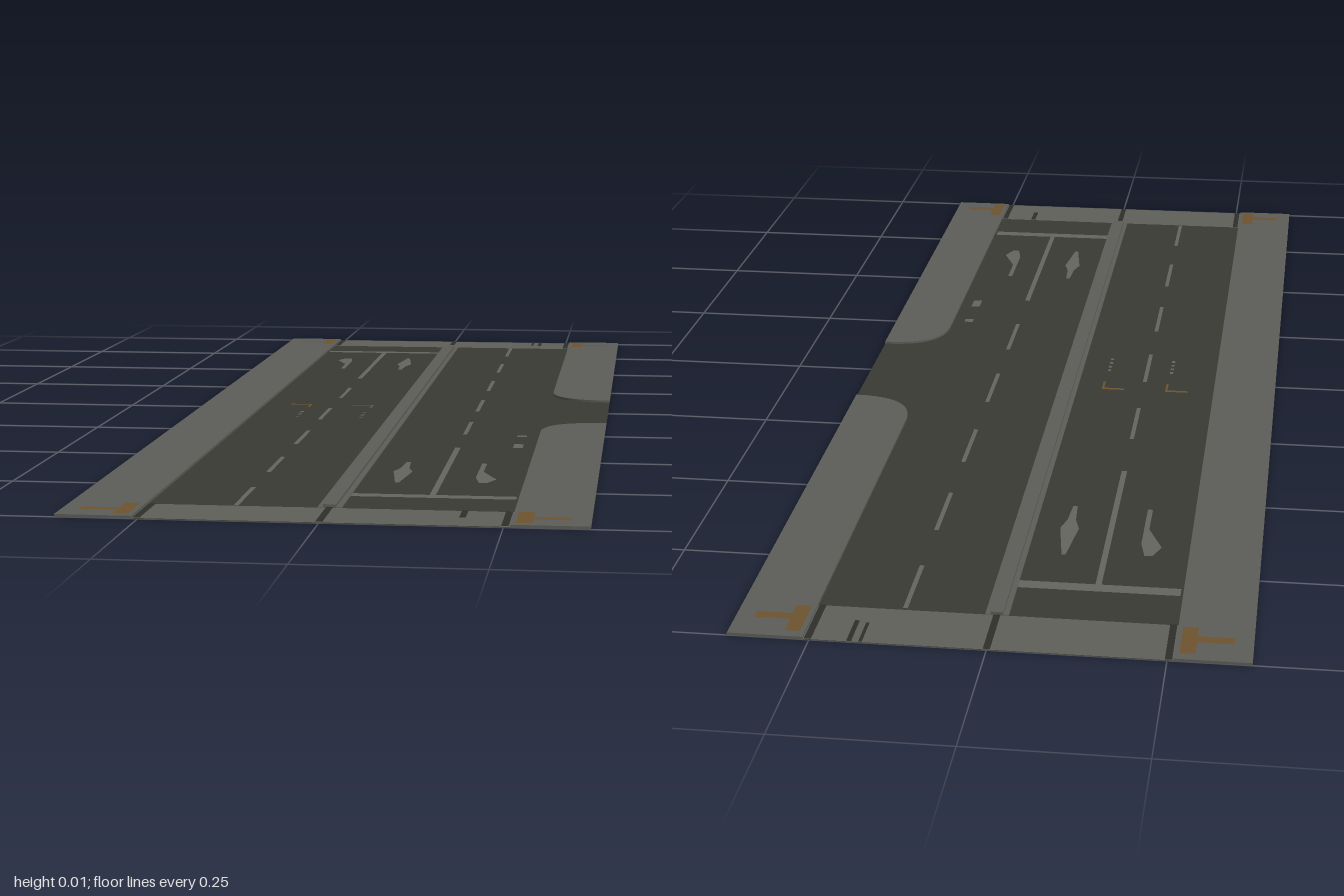
import * as THREE from 'three';

const mat = (name, color) => {
  const m = new THREE.MeshStandardMaterial({ color });
  m.name = name;
  return m;
};

export function createModel() {
  const root = new THREE.Group();
  root.name = 'roadSegment';
  const asphalt = mat('asphalt', 0x3a3a34);
  asphalt.side = THREE.DoubleSide;
  const concrete = mat('concrete', 0x5d5e59);
  const crossing = mat('crossingGrey', 0x5f605a);
  const paint = mat('roadPaint', 0x656660);
  const seam = mat('seamDark', 0x2f2f2b);
  const tactile = mat('tactileOrange', 0x6e5430);

  const add = (name, geo, material, y = 0, parent = root) => {
    const m = new THREE.Mesh(geo, material);
    m.name = name;
    m.position.y = y;
    parent.add(m);
    return m;
  };
  // Shapes are drawn in plan with y = -z, then laid flat
  const lay = (geo) => geo.rotateX(-Math.PI / 2);
  const poly = (pts) => new THREE.Shape(pts.map(([x, z]) => new THREE.Vector2(x, -z)));
  const flat = (name, pts, material, y, parent) =>
    add(name, lay(new THREE.ShapeGeometry(poly(pts))), material, y, parent);
  const rect = (name, x0, x1, z0, z1, material, y = 0.001, parent = root) =>
    flat(name, [[x0, z0], [x0, z1], [x1, z1], [x1, z0]], material, y, parent);
  const slab = (name, shape, h) =>
    add(name, lay(new THREE.ExtrudeGeometry(shape, { depth: h, bevelEnabled: false, curveSegments: 10 })), concrete);

  const IN = 0.259, OUT = 0.367, TOP = 0.004;

  // Road surface with the side entrance
  const road = new THREE.Shape();
  road.moveTo(-IN, -1);
  road.lineTo(IN, -1);
  road.lineTo(IN, -0.22);
  road.quadraticCurveTo(0.265, -0.13, OUT, -0.13);
  road.lineTo(OUT, 0.13);
  road.quadraticCurveTo(0.265, 0.13, IN, 0.22);
  road.lineTo(IN, 1);
  road.lineTo(-IN, 1);
  add('roadSurface', lay(new THREE.ShapeGeometry(road, 10)), asphalt);

  // Pavements: one full length, two with a rounded corner at the entrance
  slab('rightPavement', poly([[-OUT, -1], [-OUT, 1], [-IN, 1], [-IN, -1]]), TOP);
  for (const s of [1, -1]) {
    const p = new THREE.Shape();
    p.moveTo(IN, s);
    p.lineTo(IN, s * 0.22);
    p.quadraticCurveTo(0.265, s * 0.13, OUT, s * 0.13);
    p.lineTo(OUT, s);
    slab(s > 0 ? 'leftPavementBack' : 'leftPavementFront', p, TOP);
  }

  // Stepped median
  for (const [name, w, h] of [['medianBase', 0.034, 0.002], ['medianKerb', 0.018, 0.006]]) {
    add(name, new THREE.BoxGeometry(w, h, 1.8), concrete, h / 2);
  }

  // Crossings at both ends with dark seams
  for (const s of [1, -1]) {
    const z0 = s > 0 ? 0.9 : -1;
    rect('crossing', -IN, IN, z0, z0 + 0.1, crossing);
    for (const x of [-0.252, 0, 0.252]) {
      rect('crossingSeam', x - 0.005, x + 0.005, z0, z0 + 0.1, seam, 0.002);
    }
    // Tactile paving on the four corners
    for (const m of [1, -1]) {
      const bar = (a, b, za, zb) =>
        rect('tactilePaving', Math.min(m * a, m * b), Math.max(m * a, m * b), za, zb, tactile, TOP + 0.0008);
      bar(0.266, 0.288, z0 + 0.015, z0 + 0.09);
      bar(0.288, 0.34, z0 + 0.048, z0 + 0.065);
    }
  }
  rect('crossingMark', 0.175, 0.18, -1, -0.945, seam, 0.002);
  rect('crossingMark', 0.19, 0.197, -1, -0.94, seam, 0.002);
  rect('crossingMark', 0.186, 0.195, 0.9, 0.95, seam, 0.002);

  // Lane markings of one carriageway, repeated by a half turn
  for (const turn of [0, Math.PI]) {
    const g = new THREE.Group();
    g.name = turn ? 'rightLaneMarkings' : 'leftLaneMarkings';
    g.rotation.y = turn;
    root.add(g);
    for (let i = 0; i < 5; i++) {
      const z = -0.895 + i * 0.255;
      rect('laneDash', 0.13, 0.137, z, z + 0.135, paint, 0.001, g);
    }
    rect('solidLaneLine', 0.129, 0.138, 0.39, 0.79, paint, 0.001, g);
    rect('stopLine', 0.015, 0.255, 0.79, 0.812, paint, 0.001, g);
    flat('straightArrow', [[0.066, 0.53], [0.063, 0.58], [0.055, 0.61], [0.068, 0.7],
      [0.074, 0.7], [0.084, 0.61], [0.076, 0.58], [0.073, 0.53]], paint, 0.001, g);
    flat('turnArrow', [[0.184, 0.53], [0.184, 0.65], [0.192, 0.69], [0.204, 0.69],
      [0.216, 0.66], [0.2, 0.62], [0.192, 0.6], [0.192, 0.53]], paint, 0.001, g);
  }

  // Small faded marks in the right-hand lanes
  for (const [a, b] of [[-0.213, -0.173], [-0.1, -0.06]]) {
    rect('markBar', a, b, -0.046, -0.039, tactile);
    rect('markSide', b - 0.004, b, -0.039, -0.01, tactile);
    for (let i = 0; i < 4; i++) {
      const z = 0.04 + i * 0.018;
      rect('markDot', b - 0.008, b - 0.002, z, z + 0.008, paint);
    }
  }
  // Drain covers beside the left kerb
  rect('drainCover', 0.222, 0.238, 0.26, 0.275, paint);
  rect('drainCover', 0.222, 0.238, 0.345, 0.38, paint);

  return root;
}
